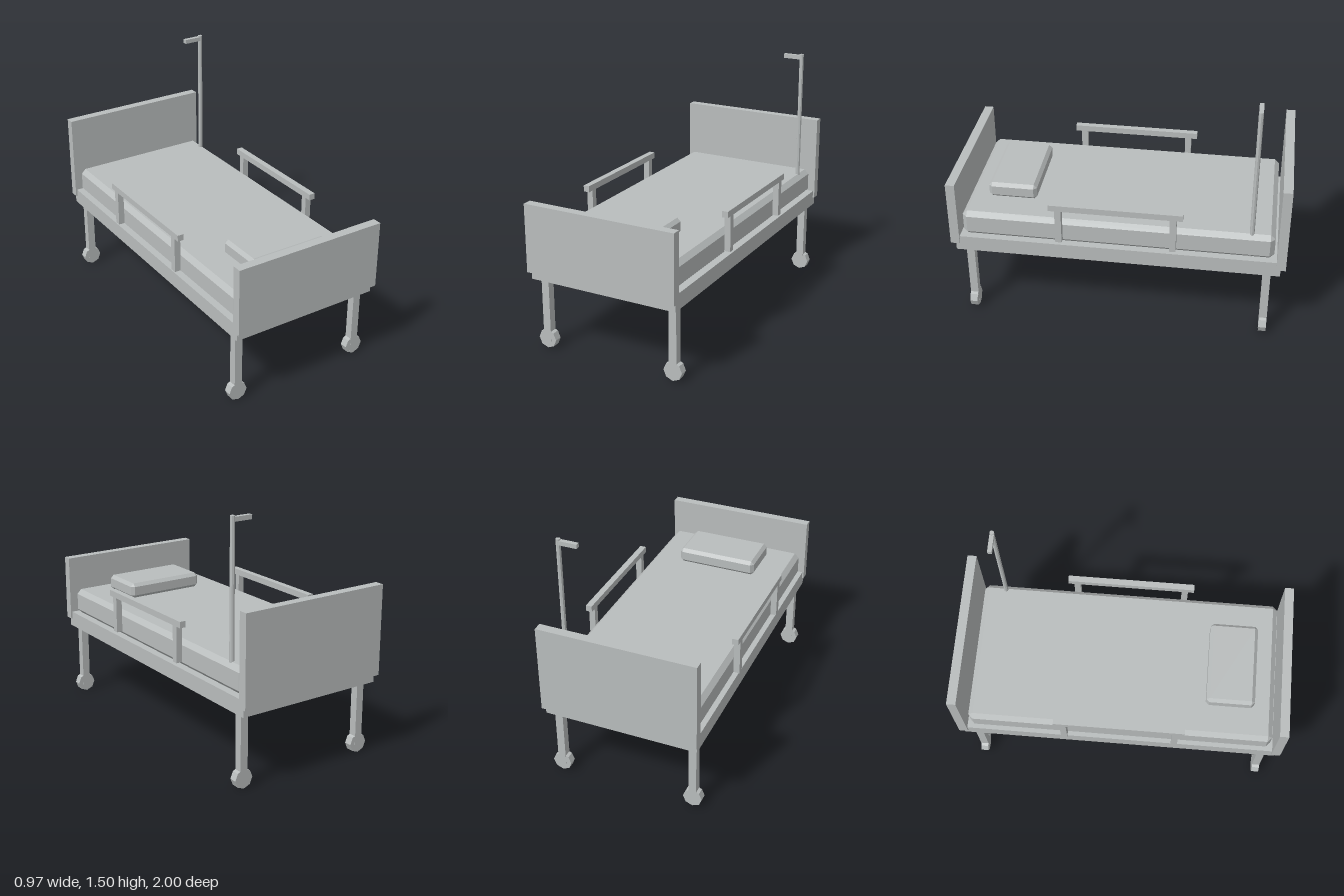
import * as THREE from 'three';
import { ConvexGeometry } from 'three/addons/geometries/ConvexGeometry.js';

const grey = new THREE.MeshStandardMaterial({ color: 0xb9bdbd, flatShading: true });
grey.name = 'light grey';

// Box with flat chamfers of size b on every edge
function chamferBox(w, h, d, b) {
  const pts = [];
  for (const sx of [-1, 1]) for (const sy of [-1, 1]) for (const sz of [-1, 1]) {
    for (let axis = 0; axis < 3; axis++) {
      const c = [w, h, d].map((s, i) => s / 2 - (i === axis ? 0 : b));
      pts.push(new THREE.Vector3(sx * c[0], sy * c[1], sz * c[2]));
    }
  }
  return new ConvexGeometry(pts);
}

export function createModel() {
  const bed = new THREE.Group();
  bed.name = 'wheeledBed';

  const add = (name, geometry, x, y, z, parent = bed) => {
    const mesh = new THREE.Mesh(geometry, grey);
    mesh.name = name;
    mesh.position.set(x, y, z);
    parent.add(mesh);
    return mesh;
  };
  // Box given by its lower and upper limits on each axis
  const box = (name, [x0, x1], [y0, y1], [z0, z1], parent) =>
    add(name, new THREE.BoxGeometry(x1 - x0, y1 - y0, z1 - z0),
      (x0 + x1) / 2, (y0 + y1) / 2, (z0 + z1) / 2, parent);

  // Frame and end boards
  box('bedFrame', [-0.465, 0.465], [0.45, 0.546], [-0.97, 0.97]);
  box('tallEndBoard', [-0.475, 0.475], [0.5, 1.04], [-1, -0.945]);
  box('lowEndBoard', [-0.475, 0.475], [0.5, 0.912], [0.945, 1]);

  // Bedding
  add('mattress', chamferBox(0.89, 0.16, 1.855, 0.028), 0, 0.626, 0);
  add('pillow', chamferBox(0.51, 0.096, 0.294, 0.02), 0, 0.753, 0.657);

  // Side rails: a bar on two posts
  for (const side of [-1, 1]) {
    const rail = new THREE.Group();
    rail.name = side > 0 ? 'leftRail' : 'rightRail';
    bed.add(rail);
    const xs = side > 0 ? [0.446, 0.484] : [-0.484, -0.446];
    box('railBar', xs, [0.796, 0.834], [-0.393, 0.393], rail);
    for (const z of [-0.337, 0.337]) box('railPost', xs, [0.577, 0.796], [z - 0.019, z + 0.019], rail);
  }

  // Legs with eight-sided wheels
  const wheel = new THREE.CylinderGeometry(0.058, 0.058, 0.046, 8).rotateX(Math.PI / 2);
  for (const x of [-0.416, 0.416]) for (const z of [-0.892, 0.892]) {
    box('leg', [x - 0.024, x + 0.024], [0.022, 0.437], [z - 0.024, z + 0.024]);
    add('wheel', wheel, x, 0.06, z);
  }

  // Drip pole with its hook arm
  add('dripPole', new THREE.CylinderGeometry(0.014, 0.014, 0.957, 8), 0.412, 1.0265, -0.79);
  box('dripArm', [0.295, 0.415], [1.472, 1.498], [-0.803, -0.777]);

  return bed;
}
